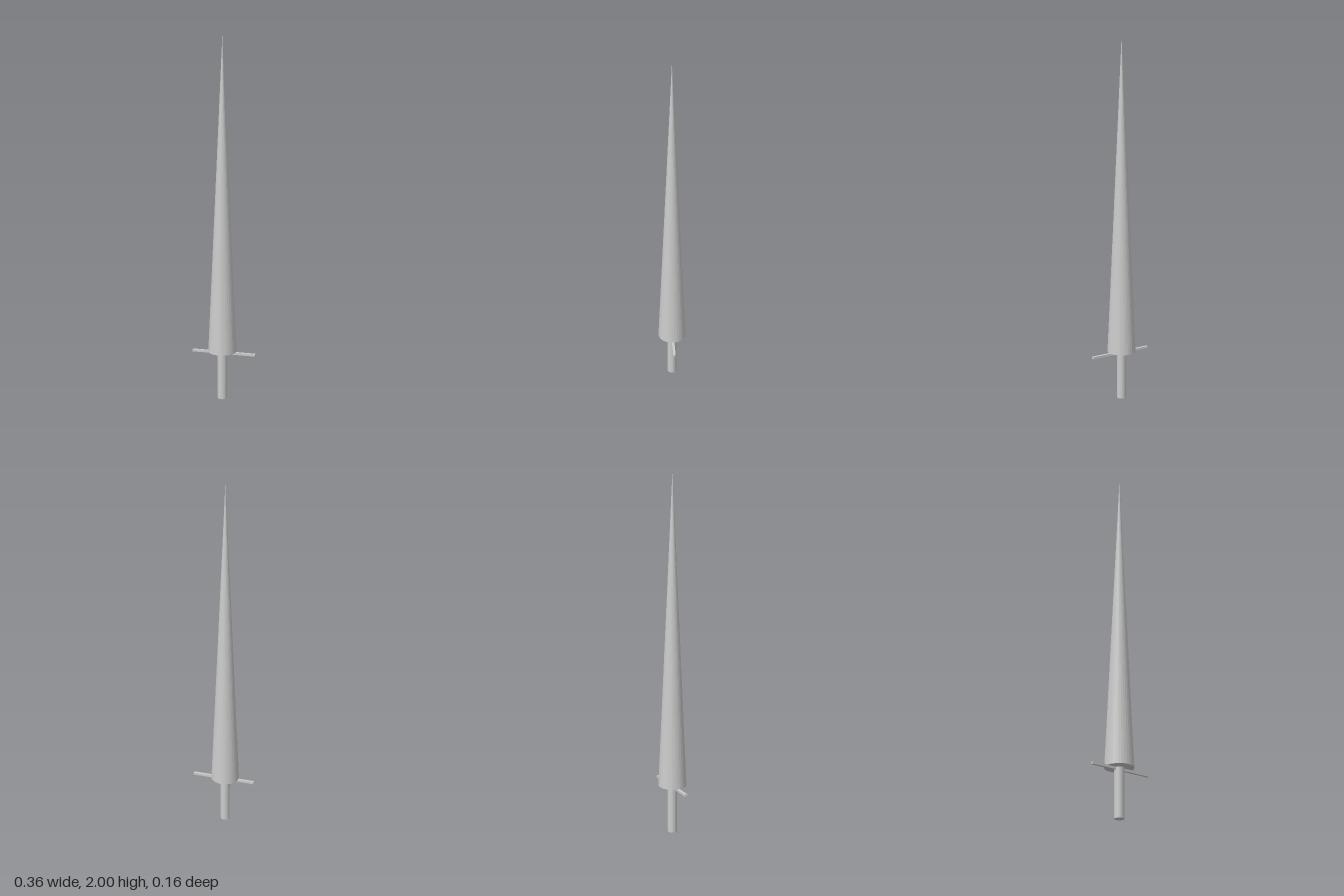
import * as THREE from 'three';

export function createModel() {
  const model = new THREE.Group();
  const material = new THREE.MeshStandardMaterial({ color: 0xcccccc, flatShading: true });
  const axisX = -0.008; // blade and handle share this axis
  const guardY = 0.27;

  const add = (name, geometry, x, y) => {
    const mesh = new THREE.Mesh(geometry, material);
    mesh.name = name;
    mesh.position.set(x, y, 0);
    model.add(mesh);
    return mesh;
  };

  // Long tapering spike with a closed base
  const bladeLength = 2 - guardY;
  add('blade', new THREE.ConeGeometry(0.078, bladeLength, 32), axisX, guardY + bladeLength / 2);

  // Round grip
  add('handle', new THREE.CylinderGeometry(0.026, 0.026, guardY, 32), axisX, guardY / 2);

  // Thin crossbar, turned slightly about the vertical axis
  const guard = add('crossguard', new THREE.BoxGeometry(0.356, 0.013, 0.014), 0, guardY - 0.0065);
  guard.rotation.y = -0.098;

  return model;
}
